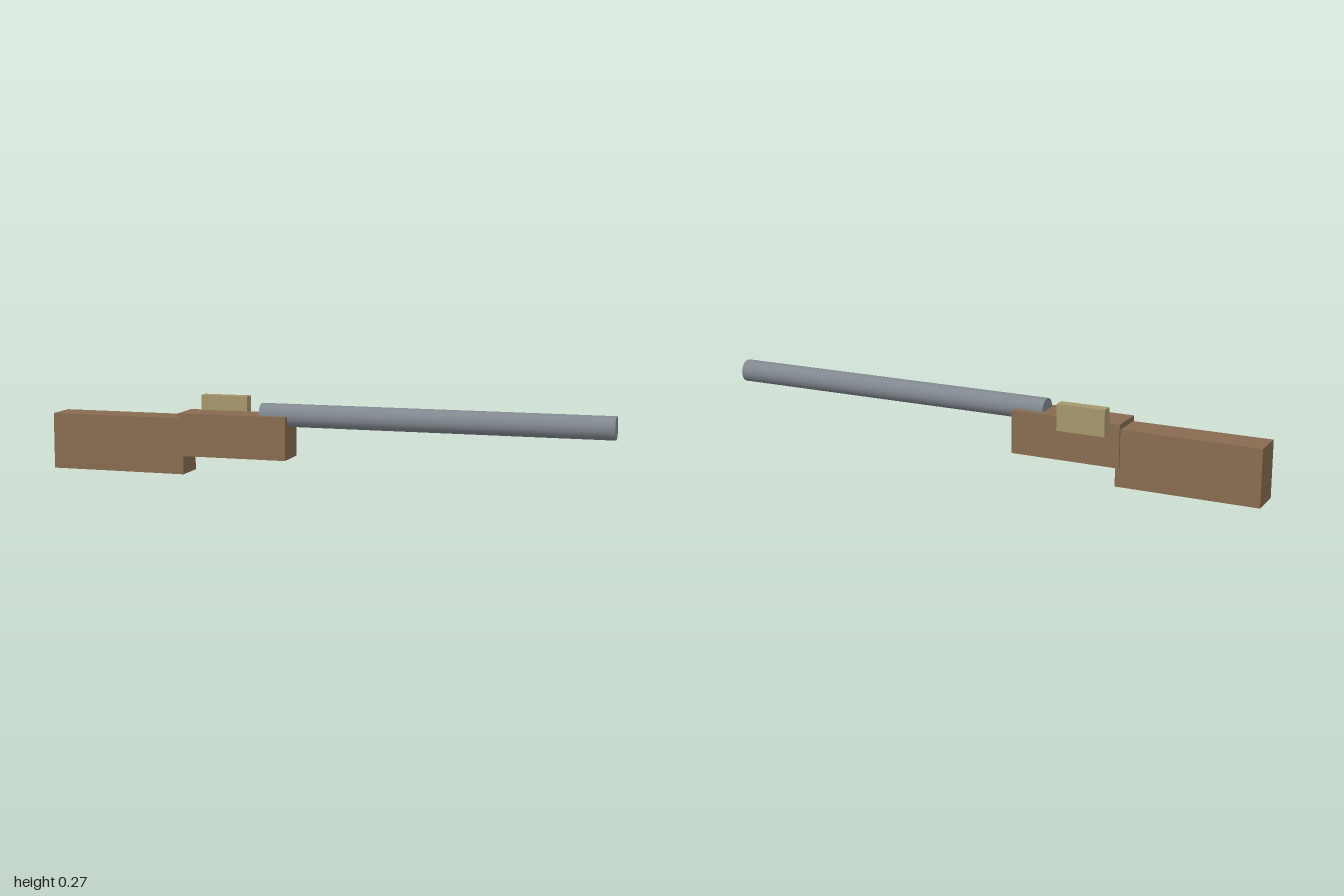
import * as THREE from 'three';

const material = (name, color) => {
  const m = new THREE.MeshStandardMaterial({ color });
  m.name = name;
  return m;
};

export function createModel() {
  const wood = material('brown wood', 0x876b50);
  const steel = material('grey steel', 0x80878e);
  const brass = material('dull brass', 0xa5966b);
  const group = new THREE.Group();

  // Box given by its lowest and highest corners
  const addBox = (name, mat, [x0, y0, z0], [x1, y1, z1]) => {
    const mesh = new THREE.Mesh(new THREE.BoxGeometry(x1 - x0, y1 - y0, z1 - z0), mat);
    mesh.position.set((x0 + x1) / 2, (y0 + y1) / 2, (z0 + z1) / 2);
    mesh.name = name;
    group.add(mesh);
  };

  // Rear stock, slightly narrower than the body it runs into
  addBox('stock', wood, [-1, 0, -0.041], [-0.5, 0.199, 0.075]);
  addBox('body', wood, [-0.516, 0.066, -0.047], [-0.121, 0.217, 0.081]);

  // Plate floating just off the back side of the body
  addBox('sidePlate', brass, [-0.475, 0.177, -0.079], [-0.302, 0.27, -0.039]);

  // Barrel lying half sunk in the top of the body
  const start = -0.225, end = 1;
  const barrel = new THREE.Mesh(new THREE.CylinderGeometry(0.04, 0.04, end - start, 48), steel);
  barrel.rotation.z = -Math.PI / 2;
  barrel.position.set((start + end) / 2, 0.217, 0.017);
  barrel.name = 'barrel';
  group.add(barrel);

  return group;
}
